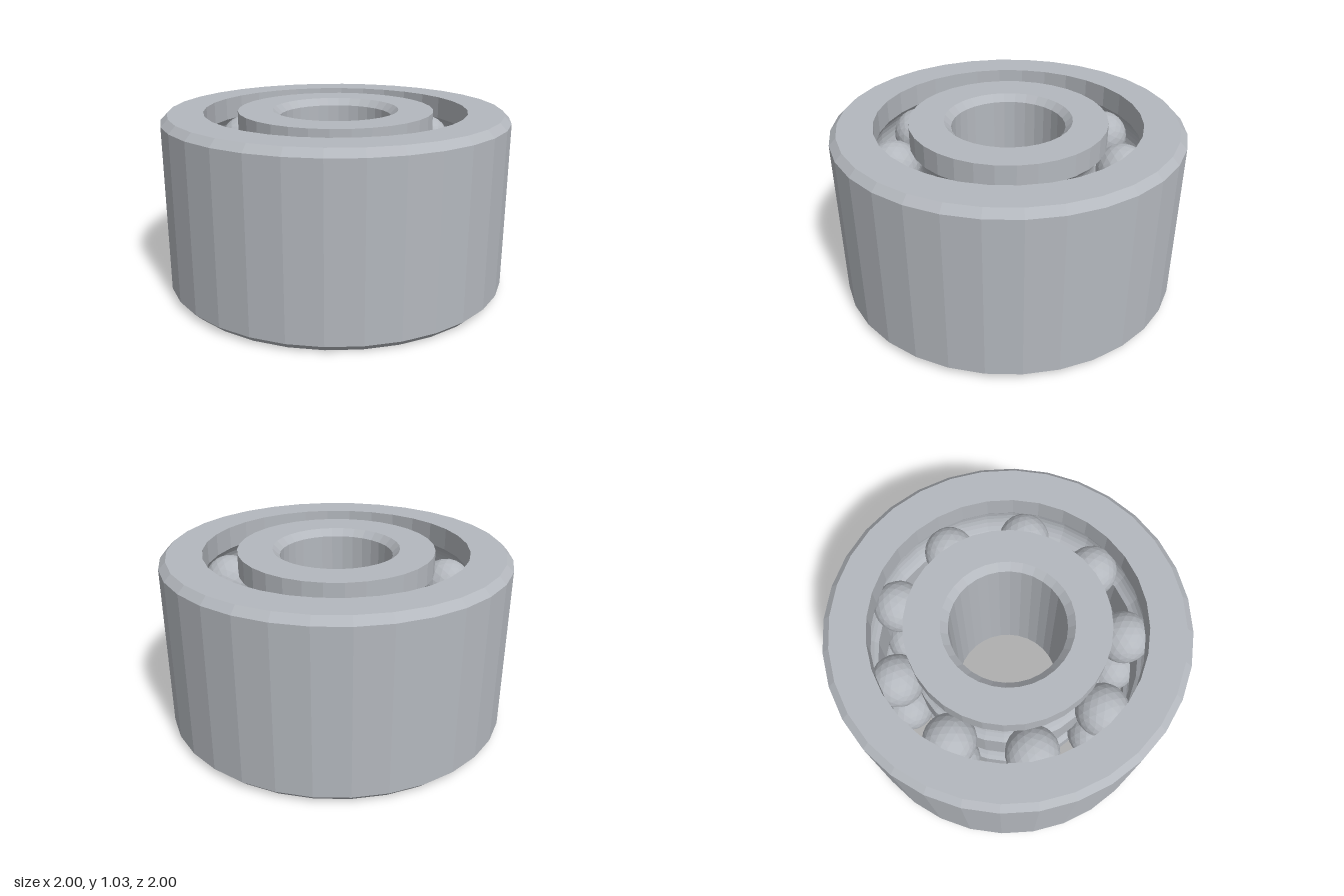
import * as THREE from 'three';

const HEIGHT = 1.03;
const PITCH = 0.66;                          // radius of the ball circle
const ROWS = [HEIGHT * 0.25, HEIGHT * 0.75]; // heights of the two ball rows
const BALL = 0.15, GROOVE = 0.16, BALLS = 9, SIDES = 32, CHAMFER = 0.04;

// Profile points down (dir -1) or up (dir 1) a raceway wall with two round grooves
function racewayWall(radius, dir) {
  const half = Math.acos(Math.abs(radius - PITCH) / GROOVE);
  const side = Math.sign(radius - PITCH);
  const rows = dir > 0 ? ROWS : [...ROWS].reverse();
  const points = [new THREE.Vector2(radius, dir > 0 ? 0 : HEIGHT)];
  for (const y of rows) {
    for (let i = 0; i <= 10; i++) {
      const a = dir * half * (i / 5 - 1);
      points.push(new THREE.Vector2(PITCH + side * GROOVE * Math.cos(a), y + GROOVE * Math.sin(a)));
    }
  }
  points.push(new THREE.Vector2(radius, dir > 0 ? HEIGHT : 0));
  return points;
}

export function createModel() {
  const model = new THREE.Group();
  model.name = 'ballBearing';
  const steel = new THREE.MeshStandardMaterial({ color: 0xb4b8be, flatShading: true });
  steel.name = 'steel grey';

  const addRing = (name, points) => {
    points.push(points[0].clone());
    const ring = new THREE.Mesh(new THREE.LatheGeometry(points, SIDES), steel);
    ring.name = name;
    model.add(ring);
  };
  const p = (r, y) => new THREE.Vector2(r, y);

  // Outer ring: chamfered outside, grooved inside
  addRing('outerRing', [
    p(1 - CHAMFER, 0), p(1, CHAMFER), p(1, HEIGHT - CHAMFER), p(1 - CHAMFER, HEIGHT),
    ...racewayWall(0.76, -1),
  ]);

  // Inner ring: grooved outside, chamfered bore
  addRing('innerRing', [
    ...racewayWall(0.565, 1),
    p(0.325 + CHAMFER, HEIGHT), p(0.325, HEIGHT - CHAMFER), p(0.325, CHAMFER), p(0.325 + CHAMFER, 0),
  ]);

  // Two aligned rows of balls
  const ballGeometry = new THREE.IcosahedronGeometry(BALL, 3);
  ROWS.forEach((y, row) => {
    const group = new THREE.Group();
    group.name = row ? 'upperBalls' : 'lowerBalls';
    for (let i = 0; i < BALLS; i++) {
      const a = (i / BALLS) * Math.PI * 2;
      const ball = new THREE.Mesh(ballGeometry, steel);
      ball.name = 'ball';
      ball.position.set(PITCH * Math.cos(a), y, PITCH * Math.sin(a));
      ball.rotation.y = -a;
      group.add(ball);
    }
    model.add(group);
  });
  return model;
}
